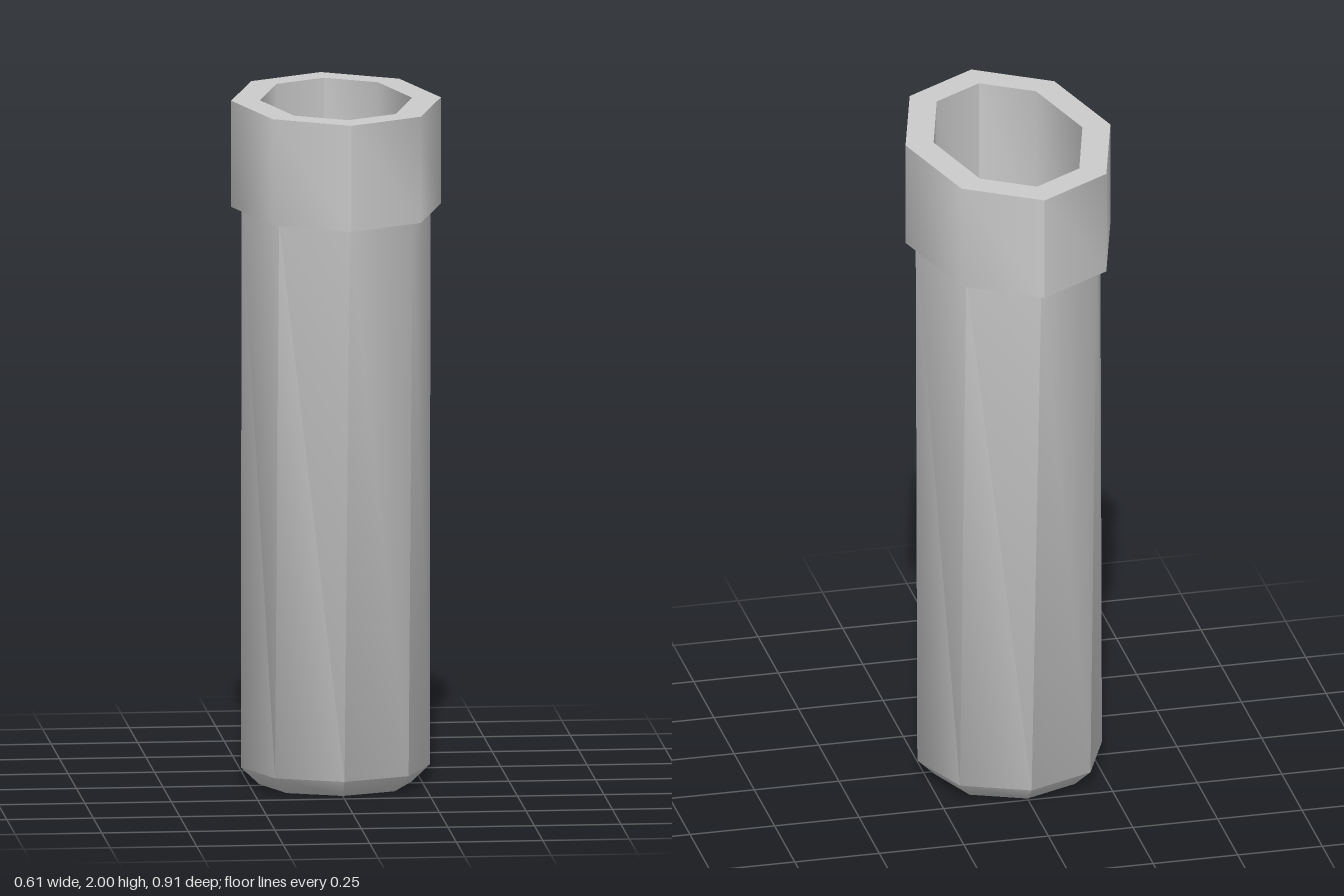
import * as THREE from 'three';
import { toCreasedNormals } from 'three/addons/utils/BufferGeometryUtils.js';

// Eight-sided ring: side tip x, end tip z, diagonal corner (dx, dz), z offset
function ring(y, x, z, dx, dz, oz = 0) {
  return [[x, 0], [dx, dz], [0, z], [-dx, dz], [-x, 0], [-dx, -dz], [0, -z], [dx, -dz]]
    .map(([px, pz]) => new THREE.Vector3(px, y, pz + oz));
}

// Skin consecutive rings; a ring shrunk to a point closes the end
function skin(rings) {
  const pos = [];
  const tri = (a, b, c) => {
    if (!a.equals(b) && !b.equals(c) && !a.equals(c)) for (const v of [a, b, c]) pos.push(v.x, v.y, v.z);
  };
  for (let r = 0; r + 1 < rings.length; r++) {
    for (let i = 0; i < 8; i++) {
      const j = (i + 1) % 8;
      const lo = rings[r], up = rings[r + 1];
      tri(lo[i], up[i], up[j]);
      tri(lo[i], up[j], lo[j]);
    }
  }
  const g = new THREE.BufferGeometry();
  g.setAttribute('position', new THREE.Float32BufferAttribute(pos, 3));
  return toCreasedNormals(g, 0.87);
}

export function createModel() {
  const grey = new THREE.MeshStandardMaterial({ color: 0xcccccc });
  grey.name = 'plain grey';
  const group = new THREE.Group();
  group.name = 'sheath';

  const add = (name, rings) => {
    const mesh = new THREE.Mesh(skin(rings), grey);
    mesh.name = name;
    group.add(mesh);
  };

  // Tapered body with a chamfered foot, slightly set back at the bottom
  add('body', [
    ring(0, 0, 0, 0, 0, -0.02),
    ring(0, 0.22, 0.22, 0.156, 0.156, -0.02),
    ring(0.05, 0.273, 0.273, 0.193, 0.193, -0.02),
    ring(1.69, 0.273, 0.411, 0.193, 0.291),
  ]);

  // Thick collar with the straight-walled opening and its floor
  add('collar', [
    ring(1.69, 0.27, 0.405, 0.19, 0.287),
    ring(1.69, 0.303, 0.454, 0.214, 0.321),
    ring(2, 0.303, 0.454, 0.214, 0.321),
    ring(2, 0.22, 0.358, 0.147, 0.267),
    ring(1.5, 0.22, 0.358, 0.147, 0.267),
    ring(1.5, 0, 0, 0, 0),
  ]);

  return group;
}
